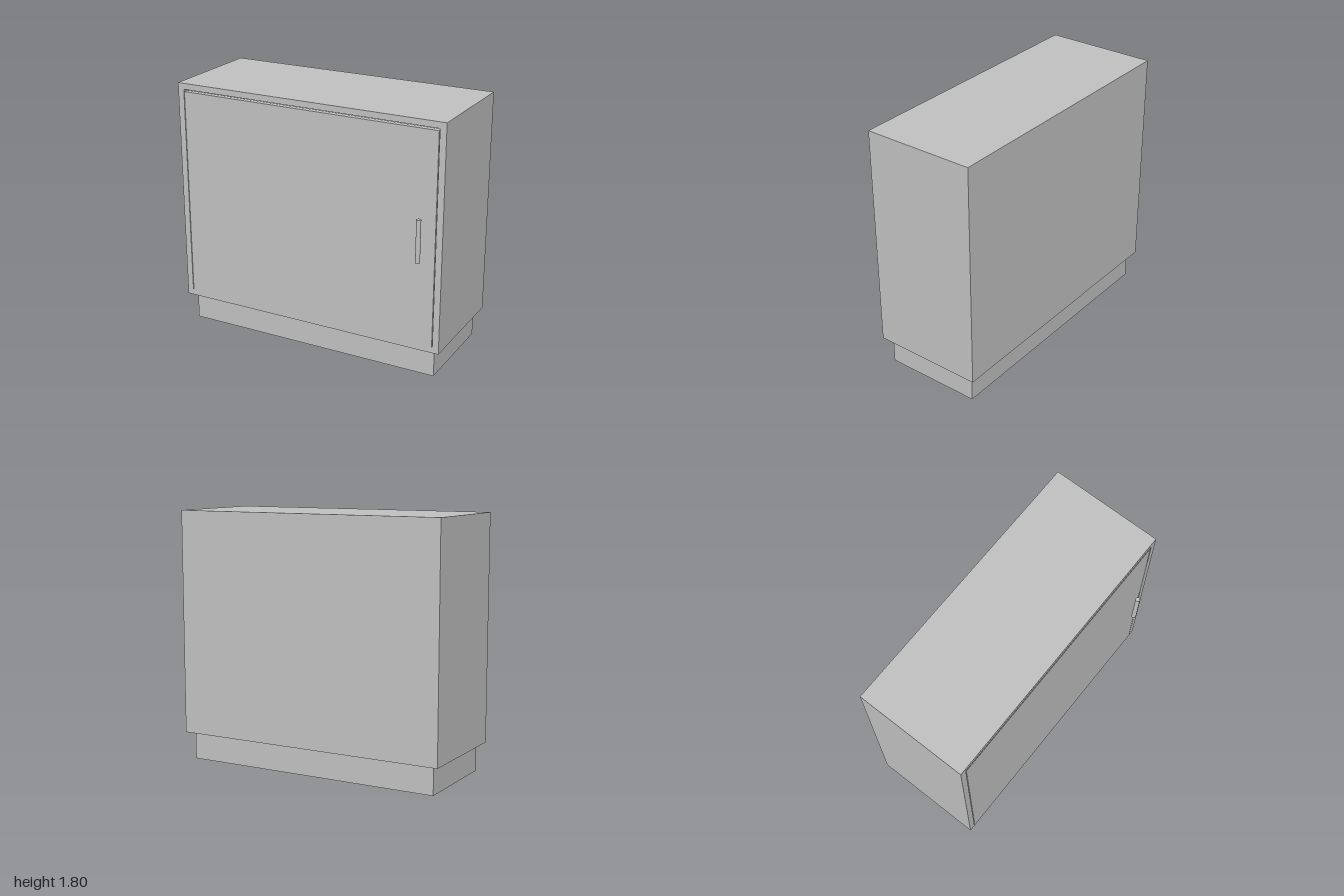
import * as THREE from 'three';

export function createModel() {
  const group = new THREE.Group();
  const grey = new THREE.MeshStandardMaterial({ color: 0xc0c0c0 });
  grey.name = 'light grey';

  // Box given by its lower and upper limits on each axis
  const panel = (name, [x0, x1], [y0, y1], [z0, z1]) => {
    const mesh = new THREE.Mesh(new THREE.BoxGeometry(x1 - x0, y1 - y0, z1 - z0), grey);
    mesh.position.set((x0 + x1) / 2, (y0 + y1) / 2, (z0 + z1) / 2);
    mesh.name = name;
    group.add(mesh);
  };

  const back = -0.43, front = 0.37;
  const inX = 0.955, inBottom = 0.243, inTop = 1.757;

  // Recessed plinth
  panel('plinth', [-0.95, 0.95], [0, 0.2], [-0.38, 0.32]);

  // Hollow carcass
  panel('bottomPanel', [-1, 1], [0.2, inBottom], [back, front]);
  panel('topPanel', [-1, 1], [inTop, 1.8], [back, front]);
  panel('leftSide', [inX, 1], [inBottom, inTop], [back, front]);
  panel('rightSide', [-1, -inX], [inBottom, inTop], [back, front]);
  panel('backPanel', [-inX, inX], [inBottom, inTop], [back, back + 0.04]);
  panel('shelf', [-inX, inX], [1.0, 1.04], [back + 0.04, front - 0.06]);

  // Inset door, flush with the carcass, with narrow gaps at the sides and top
  panel('door', [-0.95, 0.95], [inBottom, 1.742], [front - 0.04, front]);

  // Upright bar handle standing clear of the door
  const handle = new THREE.Mesh(new THREE.CylinderGeometry(0.016, 0.016, 0.3, 32), grey);
  handle.position.set(0.85, 1, 0.414);
  handle.name = 'handle';
  group.add(handle);

  return group;
}
